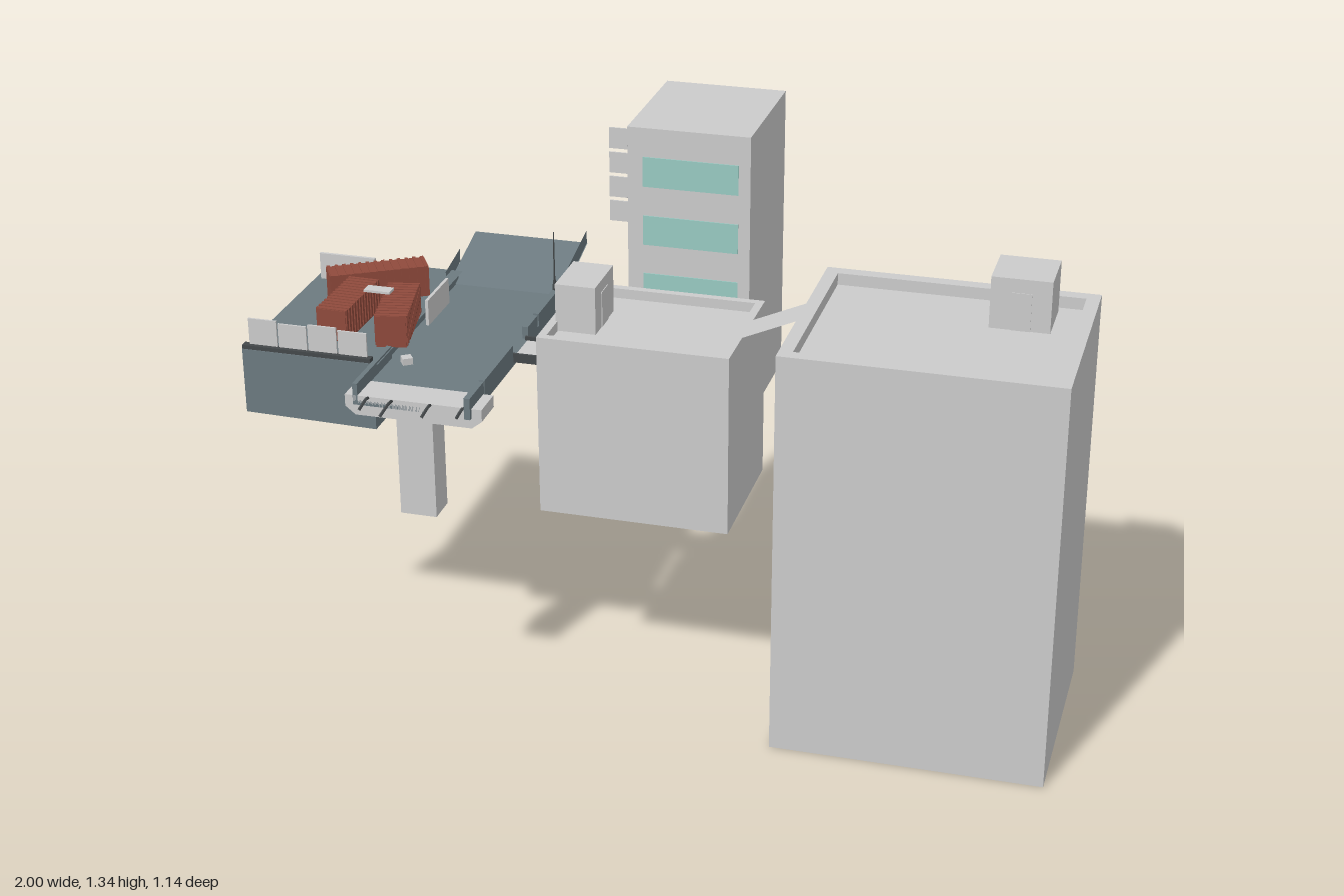
import * as THREE from 'three';

const mat = (color) => new THREE.MeshStandardMaterial({ color, flatShading: true, side: THREE.DoubleSide });
const GREY = mat(0xcccccc);
const ROAD = mat(0x6c7a80);
const RUST = mat(0x8f4a3c);
const GLASS = mat(0x99cac2);
const DARK = mat(0x44484a);

export function createModel() {
  const root = new THREE.Group();

  const add = (name, geometry, material = GREY, parent = root) => {
    const mesh = new THREE.Mesh(geometry, material);
    mesh.name = name;
    parent.add(mesh);
    return mesh;
  };

  // Box given by its minimum and maximum on each axis
  const box = (name, [x0, x1], [y0, y1], [z0, z1], material = GREY, parent = root) => {
    const mesh = add(name, new THREE.BoxGeometry(x1 - x0, y1 - y0, z1 - z0), material, parent);
    mesh.position.set((x0 + x1) / 2, (y0 + y1) / 2, (z0 + z1) / 2);
    return mesh;
  };

  // Flat sheet through four corners in order
  const sheet = (name, corners, material) => {
    const g = new THREE.BufferGeometry();
    g.setAttribute('position', new THREE.Float32BufferAttribute(corners.flat(), 3));
    g.setIndex([0, 1, 2, 0, 2, 3]);
    g.computeVertexNormals();
    return add(name, g, material);
  };

  // Building shell, open below: rectangular rings from the base up over the parapet to the roof
  const building = (name, [x0, x1], [y0, y1], [z0, z1], inset, depth) => {
    const rings = [[0, y0], [0, y1]];
    if (inset) rings.push([inset, y1], [inset, y1 - depth]);
    const p = [], index = [];
    for (const [i, y] of rings) {
      p.push(x0 + i, y, z1 - i, x1 - i, y, z1 - i, x1 - i, y, z0 + i, x0 + i, y, z0 + i);
    }
    for (let r = 0; r < rings.length - 1; r++) {
      for (let k = 0; k < 4; k++) {
        const a = r * 4 + k, b = r * 4 + (k + 1) % 4;
        index.push(a, b, b + 4, a, b + 4, a + 4);
      }
    }
    const t = (rings.length - 1) * 4;
    index.push(t, t + 1, t + 2, t, t + 2, t + 3);
    let g = new THREE.BufferGeometry();
    g.setAttribute('position', new THREE.Float32BufferAttribute(p, 3));
    g.setIndex(index);
    g = g.toNonIndexed();
    g.computeVertexNormals();
    return add(name, g);
  };

  // Three buildings
  building('tallBuilding', [0.33, 1], [0, 1.045], [-0.145, 0.405], 0.033, 0.03);
  box('tallRoofHut', [0.76, 0.905], [1.015, 1.145], [-0.09, 0.05]);
  box('tallHutDoor', [0.81, 0.858], [1.015, 1.11], [0.049, 0.052]);

  building('middleBuilding', [-0.27, 0.2], [0.525, 0.985], [-0.035, 0.32], 0.02, 0.025);
  box('middleRoofHut', [-0.255, -0.155], [0.96, 1.08], [0.065, 0.215]);
  box('middleHutDoor', [-0.156, -0.153], [0.96, 1.05], [0.115, 0.165]);
  box('sideDoorway', [-0.273, -0.269], [0.87, 0.955], [0.1, 0.185], DARK);

  building('rearBuilding', [-0.195, 0.12], [0.575, 1.34], [-0.57, -0.2], 0, 0);
  for (let i = 0; i < 4; i++) {
    const top = 1.265 - i * 0.155;
    box('windowBand', [-0.155, 0.09], [top - 0.078, top], [-0.201, -0.197], GLASS);
    const y = 1.33 - i * 0.064;
    box('signPanel', [-0.245, -0.198], [y - 0.054, y], [-0.214, -0.21]);
  }

  // Gangways between the roofs and to the road
  sheet('roofGangway', [[0.2, 0.985, 0.195], [0.335, 1.045, 0.195], [0.335, 1.045, 0.085], [0.2, 0.985, 0.085]], GREY);
  box('roadGangway', [-0.375, -0.27], [0.858, 0.868], [0.09, 0.195]);
  for (const z of [0.09, 0.195]) box('gangwayCurb', [-0.375, -0.27], [0.855, 0.878], [z - 0.003, z + 0.003], DARK);

  // Raised road: flat slab, then a ramp climbing to the back
  box('roadSlab', [-0.66, -0.37], [0.846, 0.868], [-0.2, 0.505], ROAD);
  const rampY = (z) => 0.868 + (-0.2 - z) * 0.29;
  sheet('roadRamp', [[-0.68, 0.868, -0.2], [-0.37, 0.868, -0.2], [-0.37, 0.93, -0.415], [-0.68, 0.93, -0.415]], ROAD);

  // Low barriers along both edges of the road
  for (const [z0, z1] of [[-0.155, 0], [0.01, 0.085], [0.2, 0.41], [0.415, 0.515]]) {
    box('roadBarrier', [-0.385, -0.37], [0.846, 0.9], [z0, z1], ROAD);
  }
  box('leftBarrier', [-0.665, -0.653], [0.846, 0.9], [0.28, 0.505], ROAD);
  for (const [x, back] of [[-0.372, -0.415], [-0.68, -0.29]]) {
    sheet('rampBarrier', [[x, rampY(-0.18), -0.18], [x, rampY(back), back],
      [x, rampY(back) + 0.035, back], [x, rampY(-0.18) + 0.045, -0.18]], ROAD);
  }

  // Pier with a chamfered cap
  const cap = new THREE.Shape([[-0.685, 0.87], [-0.685, 0.84], [-0.66, 0.82], [-0.37, 0.82], [-0.345, 0.84], [-0.345, 0.87]]
    .map(([x, y]) => new THREE.Vector2(x, y)));
  add('pierCap', new THREE.ExtrudeGeometry(cap, { depth: 0.085, bevelEnabled: false })).position.z = 0.42;
  box('pierColumn', [-0.56, -0.47], [0.57, 0.822], [0.425, 0.5]);

  // Bent bars sticking out of the broken road end
  [[-0.63, 0.04], [-0.57, 0.06], [-0.475, 0.04], [-0.395, 0.025]].forEach(([x, reach]) => {
    const path = new THREE.CatmullRomCurve3([
      new THREE.Vector3(x, 0.862, 0.49),
      new THREE.Vector3(x + 0.006, 0.872, 0.505 + reach * 0.6),
      new THREE.Vector3(x - 0.004, 0.853, 0.505 + reach),
    ]);
    add('bentBar', new THREE.TubeGeometry(path, 6, 0.004, 5), DARK);
  });

  // Thin pole at the road edge
  const pole = add('pole', new THREE.CylinderGeometry(0.0015, 0.003, 0.19, 5), DARK);
  pole.position.set(-0.38, 0.96, -0.163);
  const poleBase = add('poleBase', new THREE.CylinderGeometry(0.004, 0.009, 0.06, 6), DARK);
  poleBase.position.set(-0.38, 0.895, -0.163);

  // Yard: thin deck with hanging front and side walls
  const Y = 0.895;
  sheet('yardDeck', [[-1, Y, 0.38], [-0.65, Y, 0.38], [-0.65, Y, -0.225], [-1, Y, -0.225]], ROAD);
  sheet('yardFrontWall', [[-1, 0.728, 0.38], [-0.662, 0.722, 0.38], [-0.662, Y, 0.38], [-1, Y, 0.38]], ROAD);
  sheet('yardSideWall', [[-0.662, 0.722, 0.38], [-0.662, 0.722, -0.225], [-0.662, Y, -0.225], [-0.662, Y, 0.38]], ROAD);

  // Sheet fences around the yard
  for (let i = 0; i < 4; i++) {
    const x = -0.985 + i * 0.077;
    box('frontFencePanel', [x, x + 0.073], [Y + 0.006, 0.972 - (i % 2) * 0.006], [0.362, 0.367]);
  }
  box('frontFenceBase', [-1, -0.67], [Y, Y + 0.01], [0.358, 0.378], DARK);
  box('backFence', [-0.985, -0.835], [Y, 0.965], [-0.092, -0.084]);
  box('sideFence', [-0.643, -0.635], [0.868, 0.935], [-0.08, 0.07]);

  // Ribbed freight containers
  const container = (x, z, length, width, turn) => {
    const g = new THREE.Group();
    g.name = 'container';
    const h = 0.08;
    box('containerBody', [-width / 2, width / 2], [0, h], [-length / 2, length / 2], RUST, g);
    const ribs = 13;
    for (let i = 0; i < ribs; i++) {
      const c = (i / (ribs - 1) - 0.5) * (length - 0.012);
      box('containerRib', [-width / 2 - 0.003, width / 2 + 0.003], [0.004, h + 0.002], [c - 0.004, c + 0.004], RUST, g);
    }
    g.position.set(x, Y, z);
    g.rotation.y = turn;
    root.add(g);
  };
  container(-0.8, -0.015, 0.25, 0.066, -1.03);
  container(-0.805, 0.17, 0.21, 0.074, -0.02);
  container(-0.675, 0.172, 0.21, 0.074, 0.2);
  box('containerPlank', [-0.77, -0.702], [0.978, 0.984], [0.122, 0.154]);

  // Small litter
  add('barrel', new THREE.CylinderGeometry(0.012, 0.012, 0.03, 10), RUST).position.set(-0.972, Y + 0.015, 0.29);
  const scrap = box('scrap', [-0.62, -0.595], [0.868, 0.885], [0.285, 0.31]);
  scrap.rotation.y = 0.6;

  return root;
}
